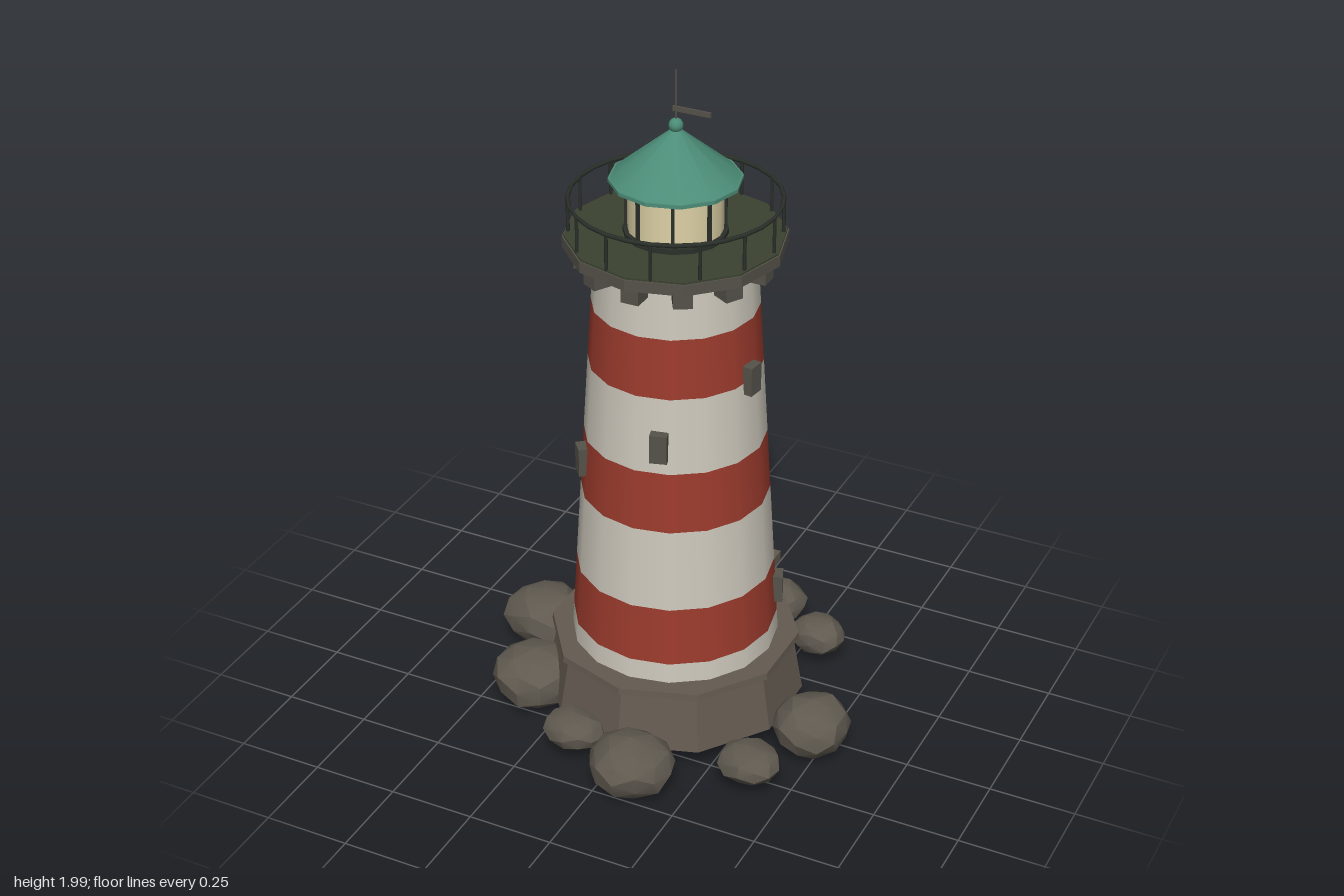
import * as THREE from 'three';
import { toCreasedNormals, mergeVertices } from 'three/addons/utils/BufferGeometryUtils.js';

const mat = (name, color, extra = {}) => {
  const m = new THREE.MeshStandardMaterial({ color, ...extra });
  m.name = name;
  return m;
};

export function createModel() {
  const white = mat('white paint', 0xcdc8bc);
  const red = mat('red paint', 0x9c3b2d);
  const stone = mat('foundation stone', 0x645b51);
  const rockMat = mat('rock', 0x5f594f);
  const trim = mat('grey trim', 0x55524a);
  const deckGreen = mat('deck green', 0x3a4230);
  const iron = mat('dark iron', 0x2b302a);
  const glass = mat('lantern glass', 0xded2a6);
  const roofGreen = mat('roof green', 0x4c8d78);

  const root = new THREE.Group();
  root.name = 'lighthouse';
  const tower = new THREE.Group();
  tower.name = 'tower';
  tower.position.set(0.014, 0, -0.003);
  root.add(tower);

  const add = (name, geo, material, x = 0, y = 0, z = 0, parent = tower) => {
    const m = new THREE.Mesh(geo, material);
    m.name = name;
    m.position.set(x, y, z);
    parent.add(m);
    return m;
  };
  // Round part between two heights
  const drum = (name, y0, y1, r0, r1, sides, material, smooth = false) => {
    let g = new THREE.CylinderGeometry(r1, r0, y1 - y0, sides);
    if (!smooth) g = toCreasedNormals(g, 0.3);
    return add(name, g, material, 0, (y0 + y1) / 2, 0);
  };
  // Places something on a circle, facing outward; angle runs from +z to +x
  const around = (mesh, angle, r) => {
    mesh.position.x = Math.sin(angle) * r;
    mesh.position.z = Math.cos(angle) * r;
    mesh.rotation.y = angle;
  };

  // Ten-sided foundation with a projecting lip
  drum('foundation', 0.08, 0.25, 0.374, 0.345, 10, stone);
  drum('foundationLip', 0.25, 0.27, 0.362, 0.36, 10, stone);

  // Tapered shaft in painted bands
  const radiusAt = (y) => 0.297 - (y - 0.27) * 0.0625;
  const levels = [0.265, 0.33, 0.505, 0.75, 0.93, 1.155, 1.33, 1.5];
  for (let i = 0; i < levels.length - 1; i++) {
    const [a, b] = [levels[i], levels[i + 1]];
    drum(i % 2 ? 'redBand' : 'whiteBand', a, b, radiusAt(a), radiusAt(b), 16, i % 2 ? red : white, true);
  }

  // Windows climbing in a spiral
  for (let i = 0; i < 7; i++) {
    const y = 0.415 + i * 0.15;
    const w = add('window', new THREE.BoxGeometry(0.048, 0.085, 0.04), trim, 0, y, 0);
    around(w, THREE.MathUtils.degToRad(112 + i * 66), radiusAt(y) + 0.001);
  }

  // Gallery: brackets, slab, deck
  for (let i = 0; i < 12; i++) {
    const c = add('bracket', new THREE.BoxGeometry(0.052, 0.055, 0.07), trim, 0, 1.475, 0);
    around(c, (i * Math.PI) / 6, 0.24);
  }
  drum('gallerySlab', 1.5, 1.532, 0.304, 0.304, 12, trim);
  drum('galleryDeck', 1.532, 1.537, 0.3, 0.3, 12, deckGreen);

  // Railing
  for (let i = 0; i < 14; i++) {
    const p = add('railPost', new THREE.CylinderGeometry(0.005, 0.005, 0.105, 6), iron, 0, 1.586, 0);
    around(p, Math.PI / 2 + (i * Math.PI) / 7, 0.287);
  }
  const rail = add('topRail', new THREE.TorusGeometry(0.287, 0.006, 6, 28), iron, 0, 1.638, 0);
  rail.rotation.x = Math.PI / 2;

  // Lantern room
  drum('lanternGlass', 1.535, 1.7, 0.13, 0.13, 16, glass, true);
  drum('lanternSill', 1.537, 1.551, 0.142, 0.142, 16, iron);
  for (let i = 0; i < 8; i++) {
    const b = add('glazingBar', new THREE.BoxGeometry(0.009, 0.16, 0.009), iron, 0, 1.617, 0);
    around(b, ((i + 0.5) * Math.PI) / 4, 0.133);
  }

  // Roof, finial and weather vane
  drum('roofEave', 1.688, 1.698, 0.18, 0.18, 12, roofGreen);
  drum('roof', 1.698, 1.832, 0.175, 0.015, 12, roofGreen, true);
  add('finialBall', new THREE.SphereGeometry(0.02, 12, 8), roofGreen, 0, 1.845, 0);
  drum('vaneRod', 1.85, 2.0, 0.003, 0.003, 6, trim);
  add('vane', new THREE.BoxGeometry(0.11, 0.014, 0.006), trim, 0.046, 1.892, 0);

  // Arched door at the back with hood and steps
  const arch = new THREE.Shape();
  arch.moveTo(-0.07, 0.26);
  arch.lineTo(0.07, 0.26);
  arch.lineTo(0.07, 0.475);
  arch.absarc(0, 0.475, 0.07, 0, Math.PI, false);
  const doorGeo = new THREE.ExtrudeGeometry(arch, { depth: 0.11, bevelEnabled: false, curveSegments: 8 });
  add('door', doorGeo, trim, 0, 0, -0.365);
  add('doorHood', new THREE.BoxGeometry(0.21, 0.034, 0.085), stone, 0, 0.568, -0.315);
  add('upperStep', new THREE.BoxGeometry(0.25, 0.03, 0.15), stone, 0, 0.26, -0.395);
  add('lowerStep', new THREE.BoxGeometry(0.2, 0.03, 0.12), stone, 0, 0.23, -0.447);

  // Shoreline rocks: lumpy, squashed low-poly balls
  const rocks = [
    // x, z, rx, ry, rz
    [-0.265, -0.35, 0.122, 0.085, 0.108],
    [-0.465, -0.1, 0.128, 0.09, 0.118],
    [-0.348, 0.183, 0.135, 0.092, 0.125],
    [-0.125, 0.37, 0.092, 0.056, 0.076],
    [0.092, 0.44, 0.124, 0.087, 0.118],
    [0.388, 0.29, 0.09, 0.056, 0.082],
    [0.475, 0.053, 0.112, 0.087, 0.116],
    [0.315, -0.363, 0.084, 0.06, 0.074],
    [0.12, -0.475, 0.102, 0.064, 0.086],
  ];
  rocks.forEach(([x, z, rx, ry, rz], k) => {
    let g = new THREE.IcosahedronGeometry(1, 1);
    g.deleteAttribute('normal');
    g.deleteAttribute('uv');
    g = mergeVertices(g);
    const p = g.attributes.position;
    const v = new THREE.Vector3();
    for (let i = 0; i < p.count; i++) {
      v.fromBufferAttribute(p, i);
      const lump = 1.0 + 0.06 * Math.sin(v.x * 4 + k * 2.1) * Math.cos(v.z * 3.5 + v.y * 3 + k);
      p.setXYZ(i, v.x * lump * rx, v.y * lump * ry, v.z * lump * rz);
    }
    add('rock', toCreasedNormals(g, 0.45), rockMat, x, 0.095, z, root);
  });

  return root;
}
